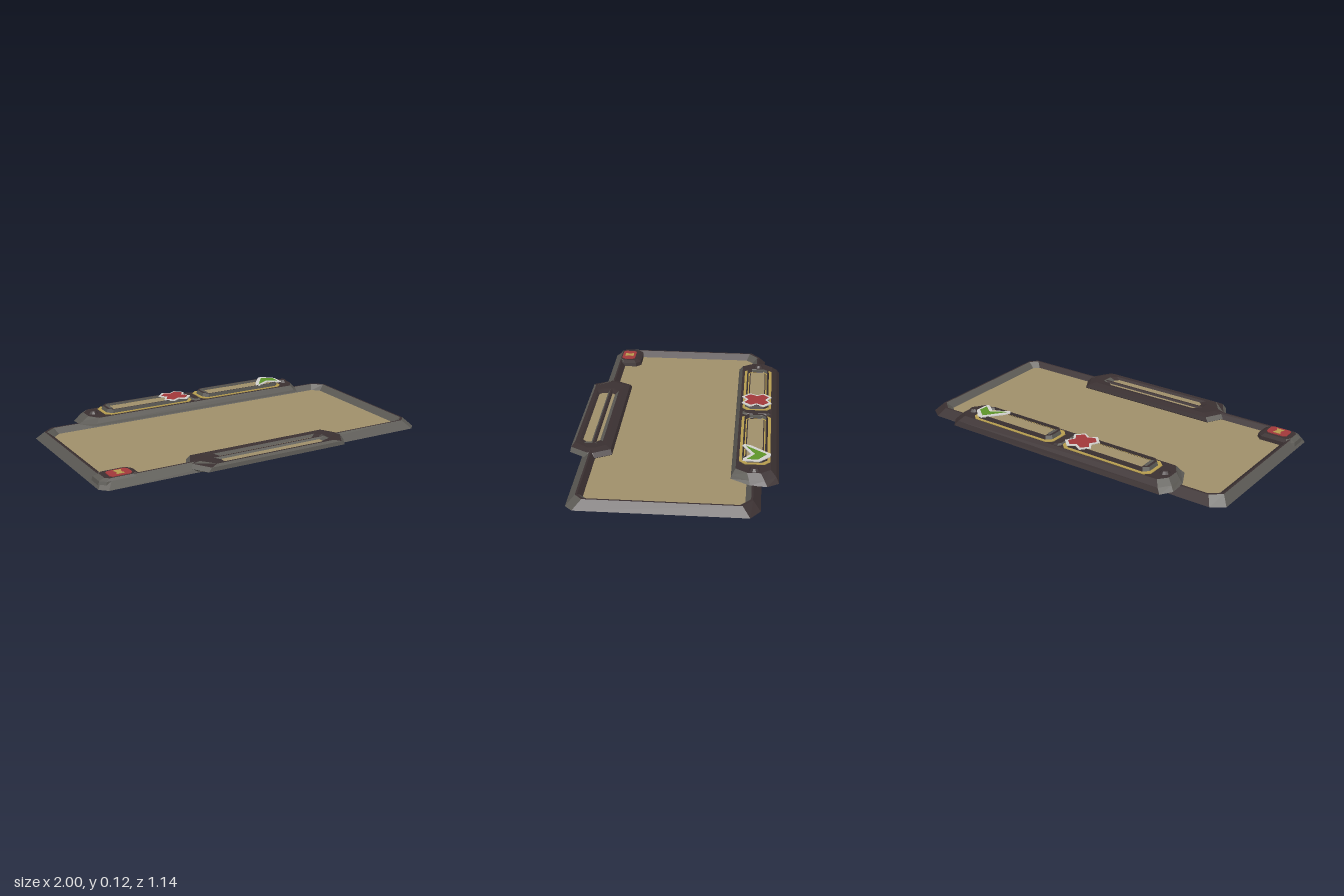
import * as THREE from 'three';

const mat = (name, color) => {
  const m = new THREE.MeshStandardMaterial({ color });
  m.name = name;
  return m;
};
const brown = mat('dark brown metal', 0x3a3031);
const grey = mat('worn grey metal', 0x5b5954);
const tan = mat('tan panel', 0x9f8f6a);
const yellow = mat('yellow trim', 0xb59c4e);
const red = mat('red', 0xa1383a);
const green = mat('green', 0x5d9428);
const white = mat('off white', 0xd2d1cd);

// Eight-sided outline, counter-clockwise from above; f and b are the front and back corner cuts.
function oct(x0, x1, z0, z1, f = [0.02, 0.02], b = f) {
  return [
    [x1 - f[0], z1], [x1, z1 - f[1]], [x1, z0 + b[1]], [x1 - b[0], z0],
    [x0 + b[0], z0], [x0, z0 + b[1]], [x0, z1 - f[1]], [x0 + f[0], z1],
  ];
}

// Joins outlines [points, y] into a faceted shell. Faces towards the front or the
// right are worn grey, the others brown, unless one material is given.
function shell(name, sections, { top = true, bottom = true, only = null } = {}) {
  const worn = [], plain = [];
  const rings = sections.map(([pts, y]) => pts.map(([x, z]) =>
    new THREE.Vector3(x, typeof y === 'function' ? y(z) : y, z)));
  const tri = (a, b, c) => {
    const n = b.clone().sub(a).cross(c.clone().sub(a)).normalize();
    const list = n.x < -0.25 || n.z > 0.25 ? worn : plain;
    for (const p of [a, b, c]) list.push(p.x, p.y, p.z);
  };
  for (let s = 0; s + 1 < rings.length; s++) {
    const lo = rings[s], up = rings[s + 1];
    lo.forEach((p, i) => {
      const j = (i + 1) % lo.length;
      tri(p, lo[j], up[j]);
      tri(p, up[j], up[i]);
    });
  }
  const first = rings[0], last = rings[rings.length - 1];
  for (let i = 1; i + 1 < first.length; i++) {
    if (top) tri(last[0], last[i], last[i + 1]);
    if (bottom) tri(first[0], first[i + 1], first[i]);
  }
  const g = new THREE.BufferGeometry();
  g.setAttribute('position', new THREE.Float32BufferAttribute([...worn, ...plain], 3));
  g.computeVertexNormals();
  g.addGroup(0, worn.length / 3, 0);
  g.addGroup(worn.length / 3, plain.length / 3, 1);
  const mesh = new THREE.Mesh(g, only ? [only, only] : [grey, brown]);
  mesh.name = name;
  return mesh;
}

// Thin flat plate from an outline of [x, z] points, with an optional hole.
function plate(name, pts, y, depth, material, hole) {
  const v = (list) => list.map(([x, z]) => new THREE.Vector2(x, -z));
  const shape = new THREE.Shape(v(pts));
  if (hole) shape.holes.push(new THREE.Path(v(hole)));
  const g = new THREE.ExtrudeGeometry(shape, { depth, bevelEnabled: false });
  g.rotateX(-Math.PI / 2);
  const mesh = new THREE.Mesh(g, material);
  mesh.name = name;
  mesh.position.y = y;
  return mesh;
}

// X-shaped outline: two corners per arm and a notch between arms.
function crossOutline(cx, cz, reach, width, notch) {
  const pts = [];
  for (let k = 0; k < 4; k++) {
    const a = Math.PI / 4 + k * Math.PI / 2;
    const c = Math.cos(a), s = Math.sin(a);
    for (const w of [-width, width]) pts.push([cx + c * reach - s * w, cz + s * reach + c * w]);
    const b = a + Math.PI / 4;
    pts.push([cx + Math.cos(b) * notch, cz + Math.sin(b) * notch]);
  }
  return pts;
}

export function createModel() {
  const model = new THREE.Group();
  model.name = 'panelFrame';

  // Main border: outer slope, ridge, inner slope, underside
  const outer = oct(-1, 1, -0.48, 0.5, [0.04, 0.04], [0.07, 0.05]);
  model.add(shell('border', [
    [outer, 0],
    [oct(-0.96, 0.96, -0.44, 0.455, [0.04, 0.04], [0.06, 0.05]), 0.045],
    [oct(-0.95, 0.95, -0.43, 0.445, [0.04, 0.04], [0.06, 0.05]), 0.045],
    [oct(-0.91, 0.91, -0.4, 0.42, [0.03, 0.03], [0.04, 0.04]), 0.012],
    [outer, 0],
  ], { top: false, bottom: false }));
  model.add(plate('mainPanel', oct(-0.915, 0.915, -0.405, 0.425, [0.03, 0.03], [0.04, 0.04]), 0.006, 0.008, tan));

  // Front lip with a sunken tan slot
  const slot = oct(-0.3, 0.33, 0.42, 0.515, [0.02, 0.02]);
  model.add(shell('frontLip', [
    [oct(-0.47, 0.47, 0.345, 0.5, [0.05, 0.04], [0.05, 0.08]), 0],
    [oct(-0.49, 0.49, 0.335, 0.568, [0.06, 0.1], [0.05, 0.09]), 0.018],
    [oct(-0.47, 0.47, 0.345, 0.565, [0.06, 0.1], [0.05, 0.09]), 0.04],
    [oct(-0.43, 0.43, 0.375, 0.55, [0.06, 0.08], [0.04, 0.06]), 0.05],
    [oct(-0.34, 0.37, 0.4, 0.53, [0.03, 0.03]), 0.046],
    [slot, 0.034],
  ], { top: false }));
  model.add(plate('lipSlotPanel', slot, 0.028, 0.007, tan));
  model.add(plate('lipSlotUnderside', oct(-0.3, 0.33, 0.42, 0.485), -0.0, 0.004, tan));
  model.getObjectByName('lipSlotUnderside').position.y = -0.001;

  // Rear bar, its underside rising slightly to the front
  const tilt = (z) => 0.035 + (z + 0.57) * 0.06;
  model.add(shell('rearBar', [
    [oct(-0.735, 0.755, -0.57, -0.32, [0.05, 0.1], [0.045, 0.06]), tilt],
    [oct(-0.715, 0.735, -0.555, -0.325, [0.05, 0.09], [0.045, 0.06]), 0.062],
    [oct(-0.685, 0.705, -0.525, -0.343, [0.04, 0.06], [0.04, 0.05]), 0.09],
  ]));
  model.add(shell('barDivider', [
    [oct(-0.016, 0.04, -0.52, -0.36, [0.012, 0.02]), 0.09],
    [oct(-0.008, 0.032, -0.51, -0.37, [0.01, 0.02]), 0.098],
  ]));
  for (const x of [-0.64, 0.672]) {
    const bolt = new THREE.Mesh(new THREE.CylinderGeometry(0.018, 0.03, 0.016, 10).toNonIndexed(), brown);
    bolt.geometry.computeVertexNormals();
    bolt.name = 'bolt';
    bolt.position.set(x, 0.097, -0.44);
    model.add(bolt);
  }

  // Two display trays on the bar
  for (const x of [0, 0.635]) {
    const tray = new THREE.Group();
    tray.name = 'displayTray';
    tray.position.x = x;
    const well = oct(-0.538, -0.057, -0.493, -0.382, [0.018, 0.018]);
    tray.add(plate('trayTrim', oct(-0.59, -0.018, -0.522, -0.358, [0.03, 0.03]), 0.089, 0.005, yellow));
    tray.add(shell('trayRim', [
      [oct(-0.573, -0.032, -0.507, -0.372, [0.028, 0.028]), 0.09],
      [oct(-0.565, -0.04, -0.5, -0.375, [0.026, 0.026]), 0.115],
      [oct(-0.55, -0.048, -0.495, -0.38, [0.02, 0.02]), 0.115],
      [well, 0.1],
    ], { top: false, bottom: false }));
    tray.add(plate('trayInnerTrim', well, 0.096, 0.004, yellow));
    tray.add(plate('trayInnerEdge', oct(-0.532, -0.063, -0.486, -0.389), 0.099, 0.003, brown));
    tray.add(plate('trayPanel', oct(-0.52, -0.068, -0.48, -0.395, [0.005, 0.005]), 0.1, 0.004, tan));
    tray.add(plate('trayBracket', oct(-0.555, -0.53, -0.475, -0.4, [0.008, 0.008]), 0.106, 0.008, grey));
    model.add(tray);
  }

  // Red cross and green tick markers with pale outlines
  model.add(plate('crossOutline', crossOutline(-0.11, -0.438, 0.09, 0.032, 0.062), 0.111, 0.005, white));
  model.add(plate('cross', crossOutline(-0.11, -0.438, 0.074, 0.024, 0.046), 0.112, 0.006, red));
  model.add(plate('tickOutline', [[0.44, -0.385], [0.455, -0.42], [0.54, -0.525], [0.57, -0.52], [0.625, -0.465],
    [0.622, -0.378], [0.6, -0.38], [0.548, -0.42], [0.455, -0.37]].reverse(), 0.111, 0.005, white));
  model.add(plate('tick', [[0.462, -0.39], [0.548, -0.502], [0.61, -0.455], [0.606, -0.4], [0.55, -0.442]].reverse(),
    0.112, 0.006, green));

  // Corner button
  model.add(shell('buttonHousing', [
    [oct(-0.99, -0.757, 0.318, 0.47, [0.03, 0.03]), 0.008],
    [oct(-0.985, -0.762, 0.322, 0.465, [0.03, 0.03]), 0.035],
    [oct(-0.955, -0.785, 0.345, 0.455, [0.02, 0.02]), 0.047],
  ]));
  model.add(plate('button', oct(-0.925, -0.8, 0.363, 0.447, [0.015, 0.015]), 0.045, 0.006, red));
  model.add(plate('buttonMark', [[-0.885, 0.43], [-0.875, 0.405], [-0.885, 0.377], [-0.838, 0.377],
    [-0.848, 0.405], [-0.838, 0.43]], 0.046, 0.007, yellow));

  return model;
}
